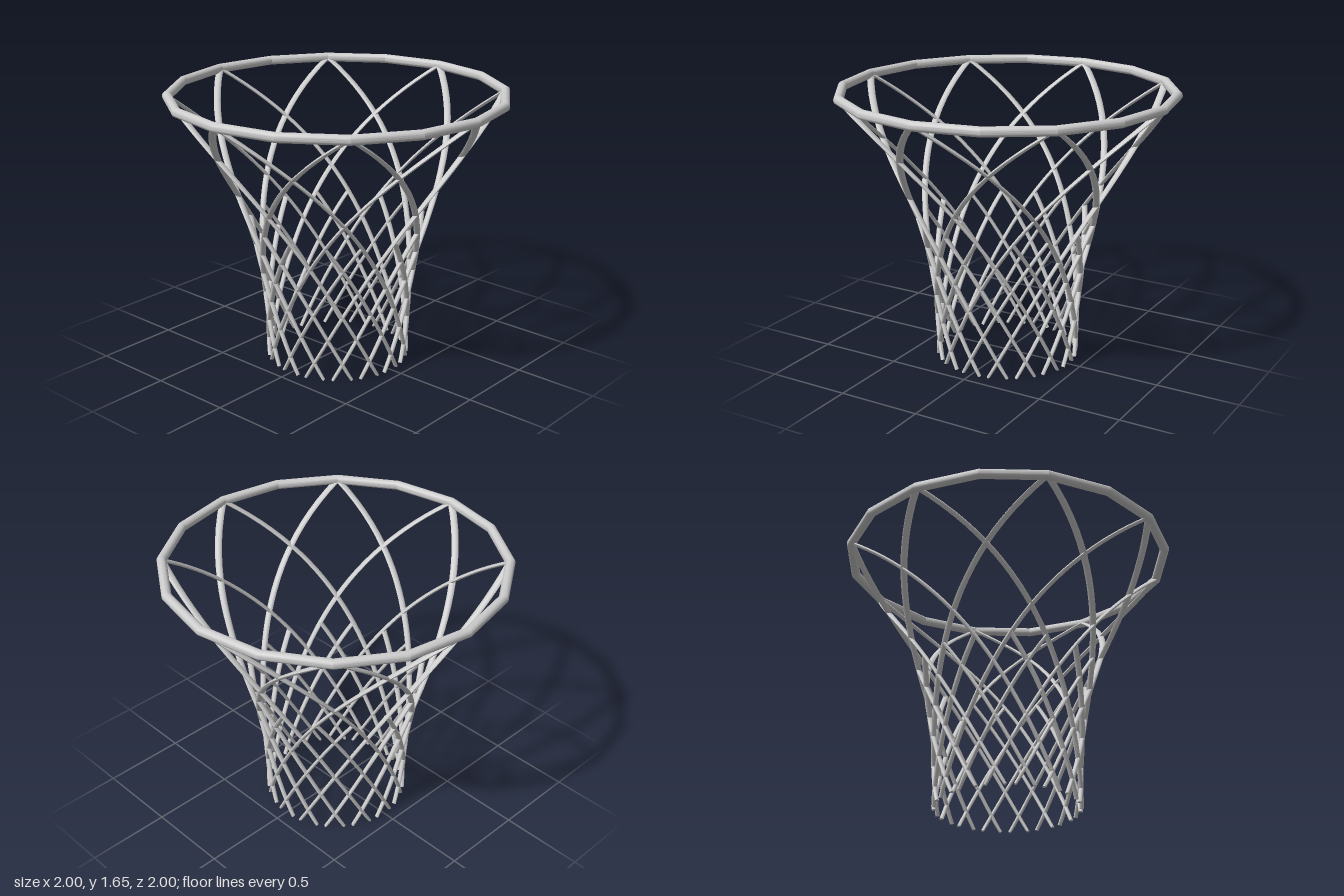
import * as THREE from 'three';
import { toCreasedNormals } from 'three/addons/utils/BufferGeometryUtils.js';

const HEIGHT = 1.62;              // height of the hoop centre line
const TWIST = Math.PI * 2 / 3;    // how far a strand winds around from top to bottom
const SIDES = 10;

// Point on a strand: t = 1 at the hoop, t = 0 at the bottom
function strandPoint(t, start, dir) {
  const r = 0.42 + 0.55 * Math.pow(t, 2.6);
  const a = start + dir * (1 - t) * TWIST;
  return new THREE.Vector3(r * Math.sin(a), HEIGHT * t, r * Math.cos(a));
}

// Flattened cord swept along the winding path, wide axis kept horizontal
function strandGeometry(tTop, start, dir) {
  const rings = Math.round(32 * tTop);
  const pos = [], index = [];
  const up = new THREE.Vector3(0, 1, 0);
  for (let i = 0; i <= rings; i++) {
    const t = tTop * (1 - i / rings);
    const p = strandPoint(t, start, dir);
    const tangent = strandPoint(t - 0.005, start, dir === 0 ? 1 : dir);
    if (t < 0.005) tangent.copy(p).multiplyScalar(2).sub(strandPoint(t + 0.005, start, dir));
    tangent.sub(p).normalize();
    const wide = new THREE.Vector3().crossVectors(up, tangent).normalize();
    const thin = new THREE.Vector3().crossVectors(tangent, wide);
    const w = 0.013 + 0.009 * t, h = 0.0105;
    for (let j = 0; j < SIDES; j++) {
      const a = j / SIDES * Math.PI * 2;
      const v = p.clone().addScaledVector(wide, w * Math.cos(a)).addScaledVector(thin, h * Math.sin(a));
      pos.push(v.x, Math.max(v.y, 0), v.z);
    }
  }
  for (let i = 0; i < rings; i++) {
    for (let j = 0; j < SIDES; j++) {
      const k = (j + 1) % SIDES;
      const a = i * SIDES + j, b = i * SIDES + k;
      index.push(a, b, a + SIDES, b, b + SIDES, a + SIDES);
    }
  }
  // End caps
  const last = rings * SIDES;
  for (let j = 1; j < SIDES - 1; j++) {
    index.push(0, j + 1, j, last, last + j, last + j + 1);
  }
  const geo = new THREE.BufferGeometry();
  geo.setAttribute('position', new THREE.Float32BufferAttribute(pos, 3));
  geo.setIndex(index);
  return toCreasedNormals(geo, 1.0);
}

export function createModel() {
  const model = new THREE.Group();
  const material = new THREE.MeshStandardMaterial({ color: 0xcccccc });

  // Sixteen-sided hoop, rounded in section with crisp joints
  const hoopGeo = new THREE.TorusGeometry(0.972, 0.028, 20, 16).rotateX(Math.PI / 2);
  const hoop = new THREE.Mesh(toCreasedNormals(hoopGeo, 0.35), material);
  hoop.name = 'hoop';
  hoop.position.y = HEIGHT;
  model.add(hoop);

  // Net: strands wind both ways; shorter ones branch off halfway down
  const net = new THREE.Group();
  net.name = 'net';
  for (const dir of [1, -1]) {
    for (let i = 0; i < 16; i++) {
      const long = i % 2 === 0;
      const geo = strandGeometry(long ? 1 : 0.531, i * Math.PI / 8, dir);
      const strand = new THREE.Mesh(geo, material);
      strand.name = long ? 'longStrand' : 'branchStrand';
      net.add(strand);
    }
  }
  model.add(net);
  return model;
}
